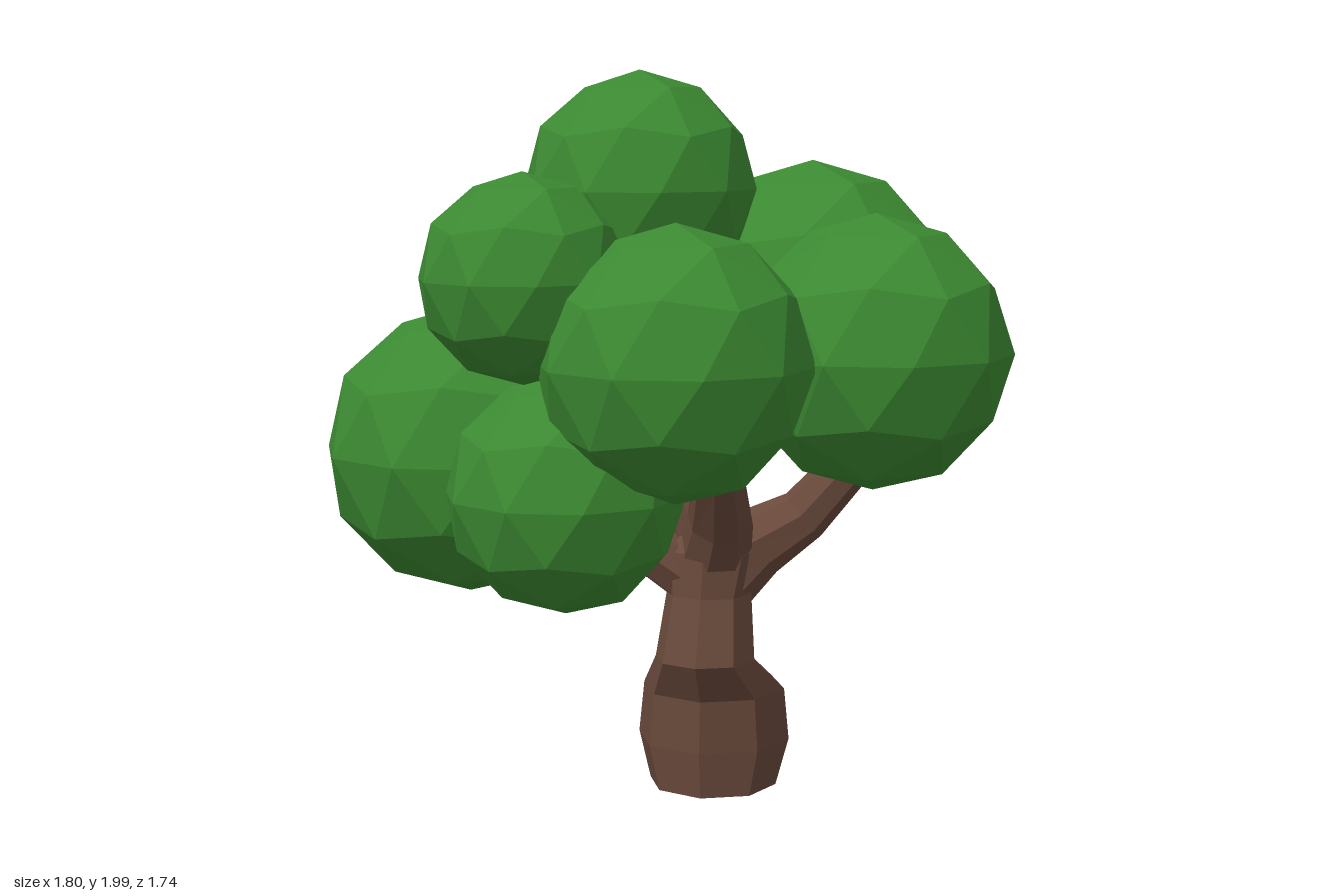
import * as THREE from 'three';

const SIDES = 8;
const UP = new THREE.Vector3(0, 1, 0);

// Faceted limb through stations [x, y, z, radius]; level keeps the rings horizontal
function limb(stations, level = false) {
  const pts = stations.map(([x, y, z]) => new THREE.Vector3(x, y, z));
  const pos = [], index = [];
  pts.forEach((p, i) => {
    const before = pts[Math.max(i - 1, 0)], after = pts[Math.min(i + 1, pts.length - 1)];
    const q = new THREE.Quaternion();
    if (!level) q.setFromUnitVectors(UP, after.clone().sub(before).normalize());
    for (let j = 0; j < SIDES; j++) {
      const a = ((j + 0.5) / SIDES) * Math.PI * 2, r = stations[i][3];
      const v = new THREE.Vector3(Math.sin(a) * r, 0, Math.cos(a) * r).applyQuaternion(q).add(p);
      pos.push(v.x, v.y, v.z);
    }
  });
  for (let i = 0; i < pts.length - 1; i++) {
    for (let j = 0; j < SIDES; j++) {
      const a = i * SIDES + j, b = i * SIDES + ((j + 1) % SIDES);
      index.push(a, b, b + SIDES, a, b + SIDES, a + SIDES);
    }
  }
  // End caps
  const last = (pts.length - 1) * SIDES;
  for (let j = 1; j < SIDES - 1; j++) {
    index.push(0, j + 1, j, last, last + j, last + j + 1);
  }
  const g = new THREE.BufferGeometry();
  g.setAttribute('position', new THREE.Float32BufferAttribute(pos, 3));
  g.setIndex(index);
  g.computeVertexNormals();
  return g;
}

export function createModel() {
  const tree = new THREE.Group();
  tree.name = 'tree';
  const bark = new THREE.MeshStandardMaterial({ color: 0x6a4a3c, flatShading: true });
  const leaf = new THREE.MeshStandardMaterial({ color: 0x3c8a32, flatShading: true });
  const add = (name, geometry, material) => {
    const mesh = new THREE.Mesh(geometry, material);
    mesh.name = name;
    tree.add(mesh);
    return mesh;
  };

  // Crooked trunk with a bulging foot
  add('trunk', limb([
    [0.145, 0.01, 0.13, 0.18],
    [0.15, 0.14, 0.115, 0.215],
    [0.145, 0.29, 0.14, 0.2],
    [0.095, 0.4, 0.26, 0.138],
    [0.11, 0.58, 0.24, 0.118],
    [0.125, 0.7, 0.22, 0.14],
    [0.13, 0.78, 0.22, 0.09],
  ], true), bark);

  // Branches fanning out from the fork into the foliage
  const branches = {
    leftBranch: [
      [0.13, 0.6, 0.22, 0.11], [0.24, 0.71, 0.23, 0.1], [0.37, 0.79, 0.26, 0.075],
      [0.49, 0.93, 0.29, 0.065], [0.54, 1.1, 0.3, 0.05],
    ],
    frontBranch: [
      [0.12, 0.64, 0.22, 0.11], [0.12, 0.8, 0.34, 0.09], [0.09, 0.93, 0.46, 0.07],
      [0.04, 1.1, 0.5, 0.05],
    ],
    rightBranch: [
      [0.12, 0.6, 0.23, 0.1], [-0.02, 0.69, 0.2, 0.085], [-0.16, 0.74, 0.15, 0.075],
      [-0.32, 0.84, 0.08, 0.05],
    ],
    backBranch: [
      [0.12, 0.62, 0.21, 0.11], [0.1, 0.73, 0.06, 0.09], [0.06, 0.78, -0.09, 0.075],
      [0.03, 0.87, -0.15, 0.07], [0.0, 1.02, -0.17, 0.065], [0.0, 1.14, -0.36, 0.04],
      [0.01, 1.2, -0.62, 0.02],
    ],
    upperBranch: [
      [0.12, 0.7, 0.24, 0.09], [0.04, 0.87, 0.2, 0.07], [-0.07, 1.04, 0.12, 0.055],
      [-0.16, 1.17, 0.05, 0.045],
    ],
  };
  for (const [name, path] of Object.entries(branches)) add(name, limb(path), bark);

  // Foliage balls, each standing on a corner: [x, y, z, radius]
  const ball = new THREE.IcosahedronGeometry(1, 1);
  ball.rotateZ(-Math.atan(2 / (1 + Math.sqrt(5))));
  const foliage = {
    topFoliage: [-0.06, 1.68, 0.11, 0.32],
    leftFoliage: [0.47, 1.34, -0.07, 0.41],
    rightFoliage: [-0.51, 0.94, -0.13, 0.41],
    frontLeftFoliage: [0.54, 1.245, 0.35, 0.375],
    frontFoliage: [-0.035, 1.24, 0.505, 0.367],
    upperRightFoliage: [-0.41, 1.455, 0.335, 0.28],
    lowerRightFoliage: [-0.3, 0.88, 0.33, 0.325],
    backLeftFoliage: [0.295, 1.21, -0.59, 0.28],
    backFoliage: [-0.035, 1.2, -0.31, 0.28],
  };
  for (const [name, [x, y, z, r]] of Object.entries(foliage)) {
    const mesh = add(name, ball, leaf);
    mesh.position.set(x, y, z);
    mesh.scale.setScalar(r);
  }
  return tree;
}
